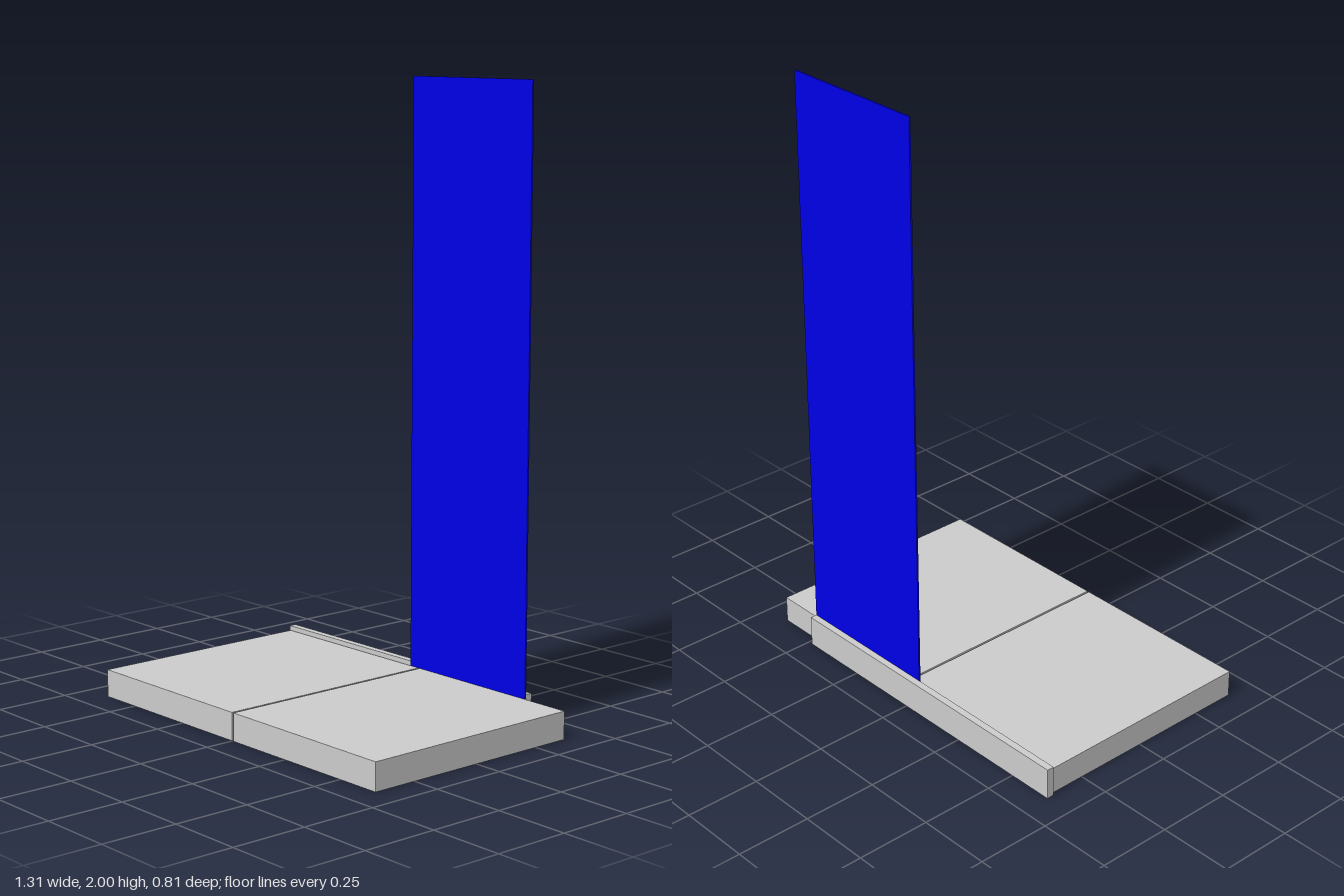
import * as THREE from 'three';

export function createModel() {
  const group = new THREE.Group();
  const grey = new THREE.MeshStandardMaterial({ color: 0xcccccc });
  const blue = new THREE.MeshStandardMaterial({ color: 0x0000e6 });

  // Box given by its lower and upper limits on each axis
  const addBox = (name, [x0, x1], [y0, y1], [z0, z1], material) => {
    const mesh = new THREE.Mesh(new THREE.BoxGeometry(x1 - x0, y1 - y0, z1 - z0), material);
    mesh.position.set((x0 + x1) / 2, (y0 + y1) / 2, (z0 + z1) / 2);
    mesh.name = name;
    group.add(mesh);
  };

  // Two base slabs with a narrow joint between them
  addBox('rightSlab', [-0.647, -0.001], [0, 0.09], [-0.374, 0.402], grey);
  addBox('leftSlab', [0.006, 0.654], [0, 0.09], [-0.374, 0.402], grey);

  // Low rail along the back edge
  addBox('backRail', [-0.657, 0.484], [0, 0.104], [-0.403, -0.379], grey);

  // Tall thin panel standing at the back
  addBox('uprightPanel', [-0.038, 0.484], [0.09, 2], [-0.38, -0.374], blue);

  return group;
}
